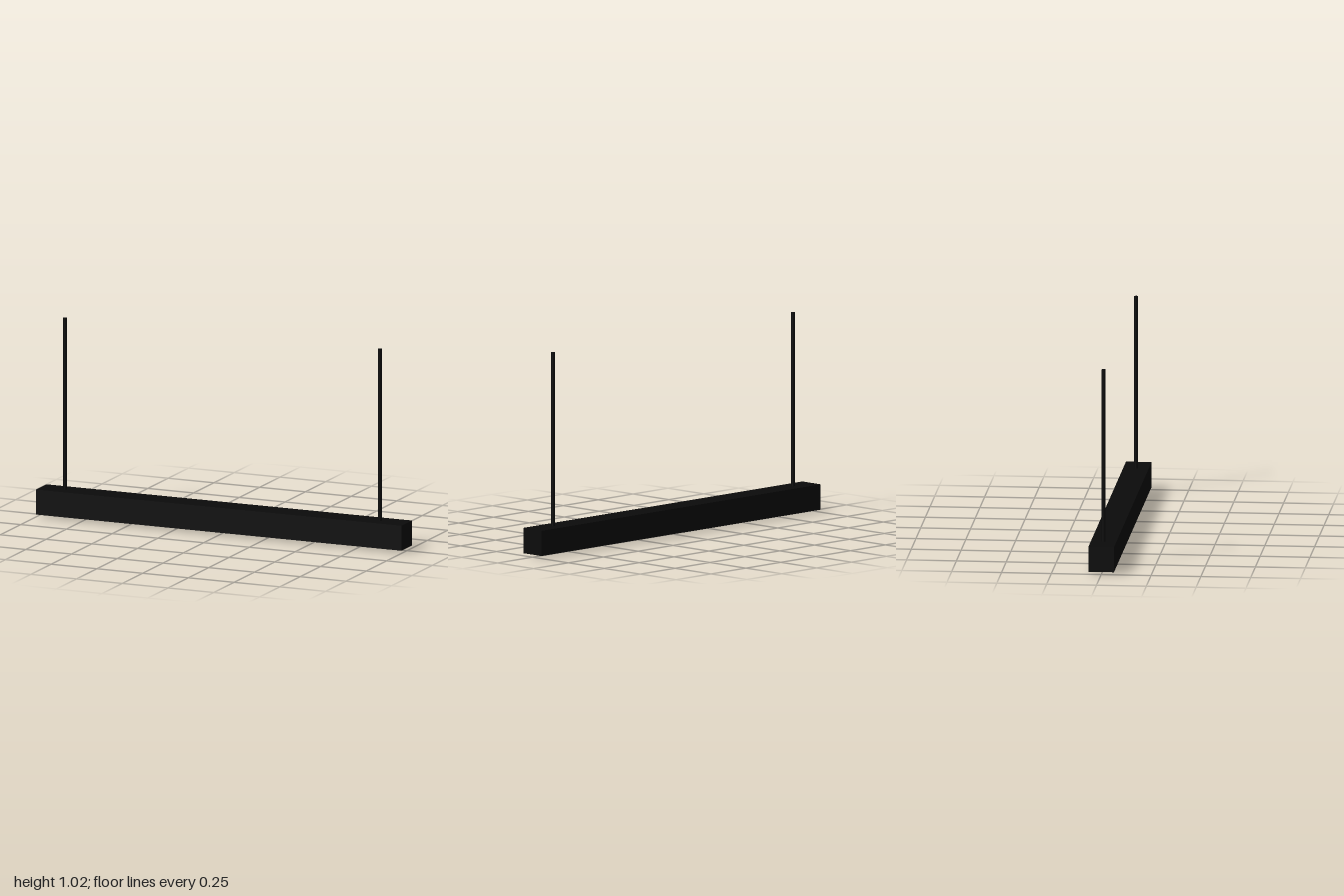
import * as THREE from 'three';

export function createModel() {
  const group = new THREE.Group();
  const black = new THREE.MeshStandardMaterial({ color: 0x0a0a0a });
  const grey = new THREE.MeshStandardMaterial({ color: 0xcccccc });

  function add(name, geometry, material, x, y, z) {
    const mesh = new THREE.Mesh(geometry, material);
    mesh.name = name;
    mesh.position.set(x, y, z);
    group.add(mesh);
    return mesh;
  }

  const bottom = 0.013, top = 0.141, half = 0.064, wall = 0.015, ceiling = 0.06;

  // Rim of the housing: a rectangular frame, open underneath
  const outline = new THREE.Shape([
    new THREE.Vector2(-1, -half), new THREE.Vector2(1, -half),
    new THREE.Vector2(1, half), new THREE.Vector2(-1, half),
  ]);
  const hx = 1 - wall, hz = half - wall;
  outline.holes.push(new THREE.Path([
    new THREE.Vector2(-hx, -hz), new THREE.Vector2(-hx, hz),
    new THREE.Vector2(hx, hz), new THREE.Vector2(hx, -hz),
  ]));
  const rim = new THREE.ExtrudeGeometry(outline, { depth: ceiling - bottom, bevelEnabled: false });
  rim.rotateX(-Math.PI / 2);
  add('housingRim', rim, black, 0, bottom, 0);

  // Solid upper body that closes the recess
  add('housingBody', new THREE.BoxGeometry(2, top - ceiling, 2 * half), black, 0, (top + ceiling) / 2, 0);

  // Round-ended light tube lying in the recess
  const r = 0.022, x0 = -0.925, x1 = 0.967;
  const tube = new THREE.CapsuleGeometry(r, x1 - x0 - 2 * r, 8, 24);
  tube.rotateZ(Math.PI / 2);
  add('lightTube', tube, grey, (x0 + x1) / 2, r, 0);

  // Tube holders and suspension rods, one pair at each end
  for (const x of [-0.868, 0.852]) {
    add('tubeHolder', new THREE.BoxGeometry(0.03, 0.035, 0.02), black, x, 0.0445, 0);
    add('suspensionRod', new THREE.CylinderGeometry(0.01, 0.01, 1.02 - top + 0.01, 16), black, x, (1.02 + top - 0.01) / 2, 0);
  }

  return group;
}
